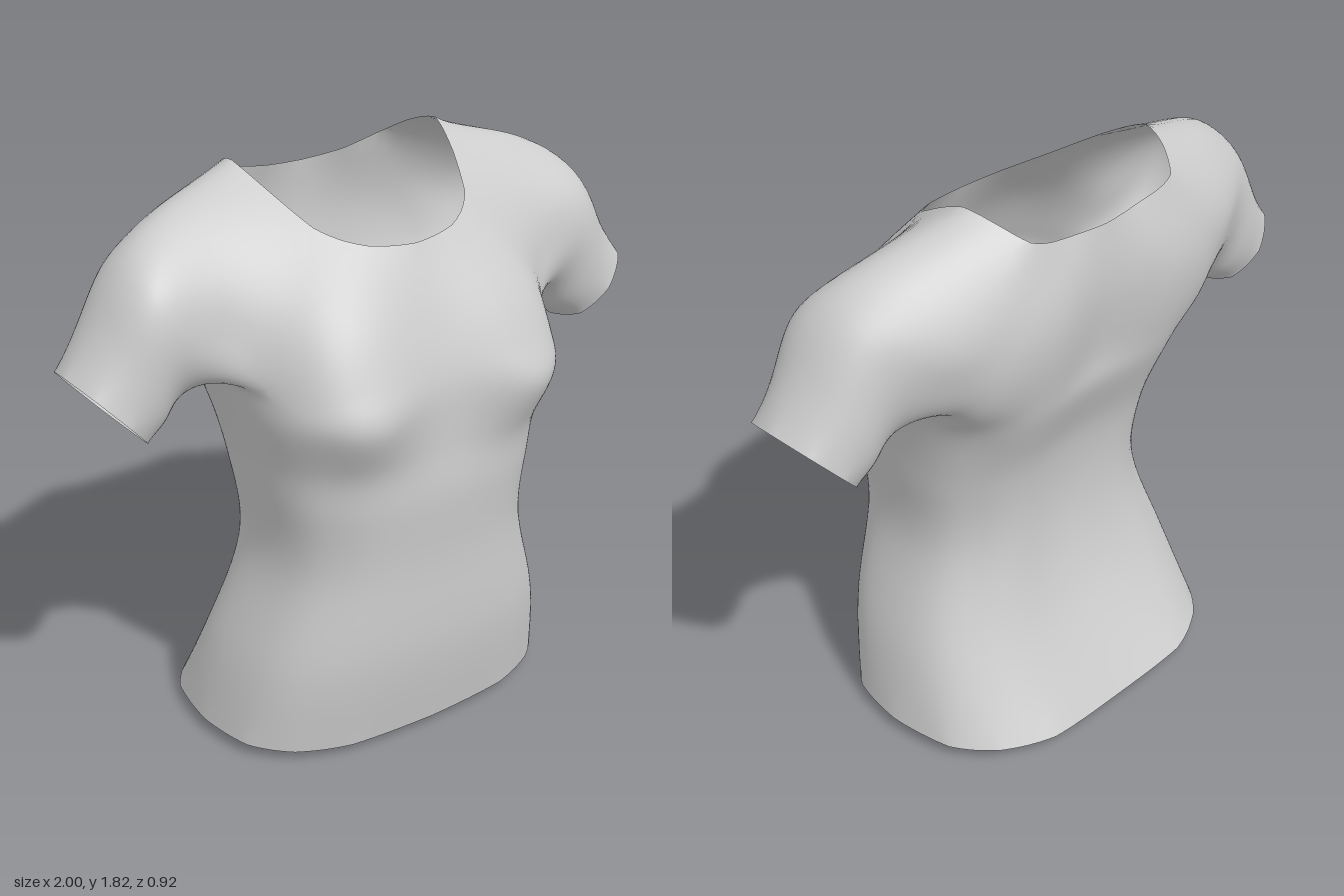
import * as THREE from 'three';

const V = (x, y, z) => new THREE.Vector3(x, y, z);

// One Catmull-Clark step on a quad mesh with open borders; old vertices keep their indices.
function subdivide(P, F) {
  const out = P.map(() => null), faces = [], edges = new Map();
  const info = P.map(() => ({ f: [], e: [], b: [] }));
  const centres = F.map((f) => f.reduce((s, i) => s.add(P[i]), V(0, 0, 0)).divideScalar(4));
  const key = (a, b) => Math.min(a, b) + '_' + Math.max(a, b);
  F.forEach((f, n) => f.forEach((a, k) => {
    const b = f[(k + 1) % 4], id = key(a, b);
    if (!edges.has(id)) edges.set(id, { a, b, f: [] });
    edges.get(id).f.push(n);
    info[a].f.push(centres[n]);
  }));
  centres.forEach((c) => out.push(c));
  for (const e of edges.values()) {
    const mid = P[e.a].clone().lerp(P[e.b], 0.5), border = e.f.length < 2;
    for (const i of [e.a, e.b]) info[i][border ? 'b' : 'e'].push(mid);
    e.id = out.length;
    out.push(border ? mid.clone()
      : centres[e.f[0]].clone().add(centres[e.f[1]]).multiplyScalar(0.25).addScaledVector(mid, 0.5));
  }
  const sum = (list) => list.reduce((s, p) => s.add(p), V(0, 0, 0));
  P.forEach((p, i) => {
    const { f, e, b } = info[i], n = f.length;
    out[i] = b.length
      ? sum(b).multiplyScalar(0.125).addScaledVector(p, 0.75)
      : sum(f).addScaledVector(sum(e), 2).divideScalar(n * n).addScaledVector(p, (n - 3) / n);
  });
  F.forEach((f, n) => f.forEach((a, k) => faces.push([
    a, edges.get(key(a, f[(k + 1) % 4])).id, P.length + n, edges.get(key(f[(k + 3) % 4], a)).id])));
  return [out, faces];
}

function smooth(P, F, levels) {
  for (let i = 0; i < levels; i++) [P, F] = subdivide(P, F);
  return [P, F];
}

// Half ring of the torso: 0 is the front centre, 4 the side, 8 the back centre.
function torsoRing([y, w, mid, f, b, bust]) {
  const ring = [];
  for (let k = 0; k <= 8; k++) {
    const t = k * Math.PI / 8, c = Math.cos(t);
    const x = k % 8 ? w * Math.sin(t) ** 0.75 : 0;
    let z = mid + (c > 0 ? f - mid : b - mid) * Math.sign(c) * Math.sign(c) * Math.abs(c) ** 0.75;
    z += bust * ([0, 0.9, 1, 0.6][k] || 0) + (k === 8 ? 0.035 : 0);
    const dip = y < 0.1 ? [0.01, 0.012, 0.008, 0.002, 0, 0.002, 0.006, 0.014, 0.04][k] : 0;
    ring.push(V(x, y - dip, z));
  }
  return ring;
}

// Sleeve ring between an underarm point and an upper point, running bottom, front, top, back.
function sleeveRing([xt, yt, xb, yb, zc, r]) {
  return Array.from({ length: 8 }, (_, j) => {
    const t = j * Math.PI / 4, s = (1 - Math.sign(Math.cos(t)) * Math.abs(Math.cos(t)) ** 0.9) / 2;
    return V(xb + (xt - xb) * s, yb + (yt - yb) * s,
      zc + r * Math.sign(Math.sin(t)) * Math.abs(Math.sin(t)) ** 0.9);
  });
}

function shirtGeometry() {
  const quads = [];
  const strip = (lo, hi, cols) => cols.forEach((k) => quads.push([lo[k], lo[k + 1], hi[k + 1], hi[k]]));

  // torso: height, half width, side z, front z, back z, bust
  const rows = [
    [0.04, 0.61, -0.05, 0.35, -0.49, 0],
    [0.33, 0.545, 0.0, 0.395, -0.32, 0],
    [0.62, 0.455, 0.04, 0.4, -0.25, 0],
    [0.85, 0.468, 0.05, 0.415, -0.26, 0],
    [1.0, 0.492, 0.04, 0.41, -0.3, 0.02],
    [1.15, 0.525, 0.01, 0.405, -0.36, 0.085],
  ].map(torsoRing);
  // armpit level
  rows.push([V(0, 1.27, 0.39), V(0.22, 1.27, 0.425), V(0.41, 1.26, 0.375), V(0.525, 1.26, 0.19),
    V(0.582, 1.28, -0.06), V(0.53, 1.27, -0.27), V(0.42, 1.27, -0.345), V(0.22, 1.27, -0.37), V(0, 1.27, -0.335)]);
  for (let i = 0; i < rows.length - 1; i++) strip(rows[i], rows[i + 1], [0, 1, 2, 3, 4, 5, 6, 7]);

  // chest and upper back, up to the neckline
  const A = rows[rows.length - 1];
  const B = [V(0, 1.43, 0.325), V(0.2, 1.43, 0.345), V(0.39, 1.43, 0.29), V(0.55, 1.41, 0.15),
    null, V(0.55, 1.42, -0.335), V(0.4, 1.47, -0.385), V(0.21, 1.49, -0.398), V(0, 1.49, -0.365)];
  const C = [V(0, 1.608, 0.235), V(0.15, 1.622, 0.208), V(0.275, 1.675, 0.11), V(0.57, 1.59, 0.085),
    null, V(0.58, 1.59, -0.315), V(0.29, 1.748, -0.335), V(0.15, 1.715, -0.345), V(0, 1.705, -0.352)];
  const panels = [0, 1, 2, 5, 6, 7];
  strip(A, B, panels);
  strip(B, C, panels);

  // shoulder
  const neck = V(0.37, 1.822, -0.16), shoulder = V(0.6, 1.748, -0.12);
  quads.push([C[2], C[3], shoulder, neck], [neck, shoulder, C[5], C[6]]);

  // sleeve
  let loop = [A[4], A[3], B[3], C[3], shoulder, C[5], B[5], A[5]];
  for (const r of [
    [0.79, 1.64, 0.665, 1.215, -0.07, 0.195],
    [0.9, 1.48, 0.73, 1.15, -0.065, 0.178],
    [1.0, 1.335, 0.79, 1.1, -0.06, 0.17],
  ]) {
    const next = sleeveRing(r);
    for (let j = 0; j < 8; j++) quads.push([loop[j], next[j], next[(j + 1) % 8], loop[(j + 1) % 8]]);
    loop = next;
  }

  // mirror the half and weld it along the middle
  const points = [], index = new Map();
  const id = (p, m) => {
    const k = [p.x * m + 0, p.y, p.z].map((n) => Math.round(n * 1e4)).join();
    if (!index.has(k)) index.set(k, points.push(V(p.x * m, p.y, p.z)) - 1);
    return index.get(k);
  };
  const faces = quads.flatMap((q) => [q.map((p) => id(p, 1)), q.map((p) => id(p, -1)).reverse()]);

  // shift the cage until the smoothed surface passes through the chosen points
  const cage = points.map((p) => p.clone());
  for (let n = 0; n < 8; n++) {
    const [S] = smooth(cage, faces, 3);
    cage.forEach((p, i) => p.add(points[i].clone().sub(S[i]).multiplyScalar(0.9)));
  }
  const [P, F] = smooth(cage, faces, 3);

  const geometry = new THREE.BufferGeometry().setFromPoints(P);
  geometry.setIndex(F.flatMap(([a, b, c, d]) => [a, b, c, a, c, d]));
  geometry.computeVertexNormals();
  return geometry;
}

export function createModel() {
  const group = new THREE.Group();
  group.name = 'shirt';
  const fabric = new THREE.MeshStandardMaterial({ color: 0xcccccc, side: THREE.DoubleSide });
  fabric.name = 'light grey fabric';
  const body = new THREE.Mesh(shirtGeometry(), fabric);
  body.name = 'shirtBody';
  group.add(body);
  return group;
}
